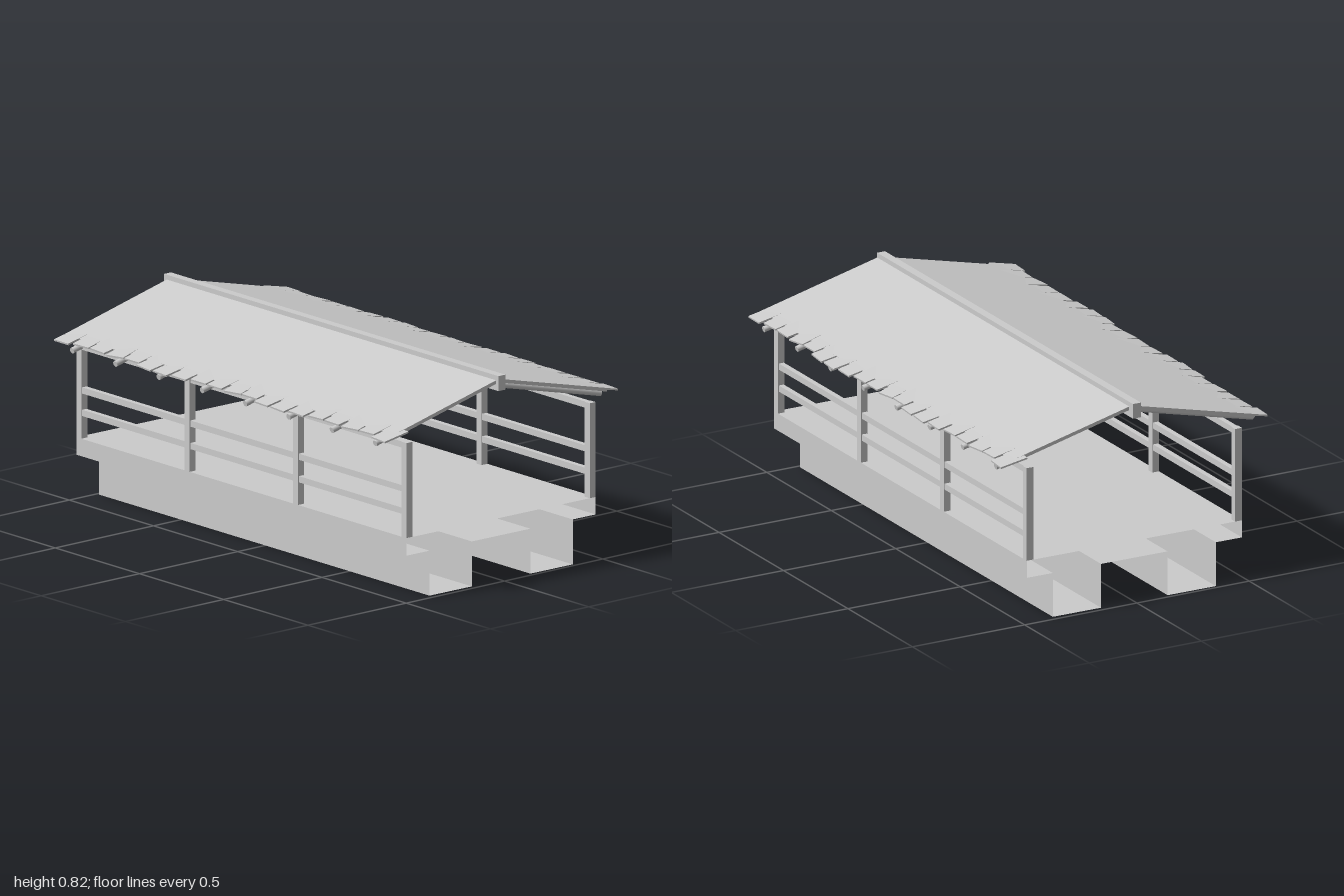
import * as THREE from 'three';

const mat = new THREE.MeshStandardMaterial({ color: 0xcccccc, flatShading: true });
const smooth = new THREE.MeshStandardMaterial({ color: 0xcccccc });
const sheet = new THREE.MeshStandardMaterial({ color: 0xcccccc, flatShading: true, side: THREE.DoubleSide });

function box(parent, name, w, h, d, x, y, z) {
  const m = new THREE.Mesh(new THREE.BoxGeometry(w, h, d), mat);
  m.name = name;
  m.position.set(x, y, z);
  parent.add(m);
  return m;
}

// Open-ended folded sheet: deck with two trough-shaped floats below
function hull() {
  const half = [[0.475, 0.25], [0.475, 0.18], [0.36, 0.18], [0.36, 0], [0.147, 0], [0.147, 0.18]];
  const profile = [...half, ...half.map(([x, y]) => [-x, y]).reverse()];
  const pos = [];
  profile.forEach(([x0, y0], i) => {
    const [x1, y1] = profile[(i + 1) % profile.length];
    const at = (x, y, s) => [x, y, s * 0.98 + 0.015 * x];
    const a = at(x0, y0, 1), b = at(x0, y0, -1), c = at(x1, y1, -1), d = at(x1, y1, 1);
    pos.push(...a, ...c, ...b, ...a, ...d, ...c);
  });
  const g = new THREE.BufferGeometry();
  g.setAttribute('position', new THREE.Float32BufferAttribute(pos, 3));
  g.computeVertexNormals();
  const m = new THREE.Mesh(g, sheet);
  m.name = 'deckAndFloats';
  return m;
}

// Posts and rails along the -x side
function railing() {
  const g = new THREE.Group();
  g.name = 'railing';
  for (let i = 0; i < 4; i++) box(g, 'post', 0.03, 0.38, 0.03, -0.46, 0.44, -0.0075 - 0.9645 + i * 0.643);
  for (const y of [0.6175, 0.4425, 0.3525]) box(g, 'rail', 0.022, 0.025, 1.93, -0.46, y, -0.0075);
  return g;
}

// Roof slope falling towards -x, with rafters and uneven eave shingles
function roofSlope() {
  const g = new THREE.Group();
  g.name = 'roofSlope';
  const a = Math.atan(0.243), c = Math.cos(a);
  g.position.y = 0.805;
  g.rotation.z = a;
  const len = 0.537 / c;
  box(g, 'roofPanel', len, 0.014, 1.955, -len / 2, -0.007, -0.0065);

  const rafterLen = 0.58 / c;
  const rafterGeo = new THREE.CylinderGeometry(0.012, 0.012, rafterLen, 12).rotateZ(Math.PI / 2);
  for (let i = 0; i < 8; i++) {
    const r = new THREE.Mesh(rafterGeo, smooth);
    r.name = 'rafter';
    r.position.set(-rafterLen / 2, -0.034, -0.9 + i * 0.257);
    g.add(r);
  }

  const reach = [0.592, 0.58, 0.58, 0.582, 0.575, 0.597, 0.6];
  const twist = [-0.03, 0.03, -0.03, 0.14, 0, -0.08, -0.08];
  for (let i = 0; i < 20; i++) {
    const k = i % 7;
    const s = box(g, 'eaveShingle', 0.115, 0.007, 0.088, -reach[k] / c + 0.0575, -0.003, -0.94 + i * 0.0995);
    s.rotation.set(0.02 * ((i % 3) - 1), twist[k], -0.03);
  }
  return g;
}

export function createModel() {
  const model = new THREE.Group();
  model.name = 'coveredRaft';
  model.add(hull());

  // The two sides match by a half turn
  for (const [name, turn] of [['rightSide', 0], ['leftSide', Math.PI]]) {
    const side = new THREE.Group();
    side.name = name;
    side.add(railing(), roofSlope());
    side.rotation.y = turn;
    model.add(side);
  }

  box(model, 'ridgeBeam', 0.035, 0.06, 1.985, 0, 0.79, -0.0075);
  return model;
}
